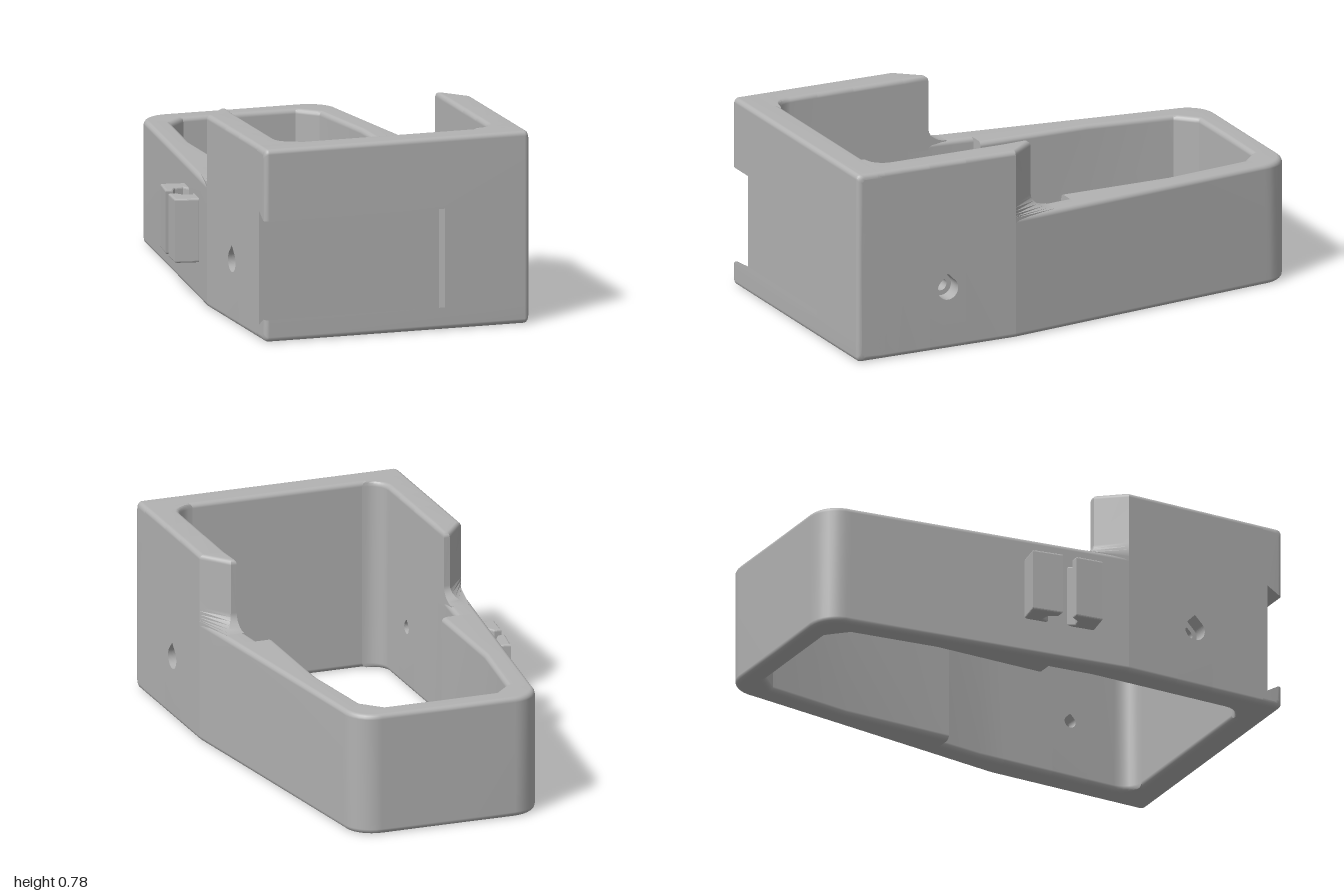
import * as THREE from 'three';

const R = 0.02; // edge rounding
const casing = new THREE.MeshStandardMaterial({ name: 'casing grey', color: 0xb2b2b2 });

// Area-weighted normals, smooth only across shallow edges
function smooth(p) {
  const faces = [], at = new Map();
  const key = (v) => v.toArray().map((n) => Math.round(n * 1e5)).join();
  for (let i = 0; i < p.length; i += 3) {
    const n = p[i + 1].clone().sub(p[i]).cross(p[i + 2].clone().sub(p[i]));
    if (n.length() < 1e-10) continue;
    const f = { v: [p[i], p[i + 1], p[i + 2]], n, u: n.clone().normalize() };
    faces.push(f);
    for (const v of f.v) {
      const k = key(v);
      if (!at.has(k)) at.set(k, []);
      at.get(k).push(f);
    }
  }
  const pos = [], nor = [];
  for (const f of faces) for (const v of f.v) {
    const n = new THREE.Vector3();
    for (const g of at.get(key(v))) if (g.u.dot(f.u) > 0.88) n.add(g.n);
    pos.push(v.x, v.y, v.z);
    nor.push(...n.normalize().toArray());
  }
  const geo = new THREE.BufferGeometry();
  geo.setAttribute('position', new THREE.Float32BufferAttribute(pos, 3));
  geo.setAttribute('normal', new THREE.Float32BufferAttribute(nor, 3));
  return geo;
}

// Closed loft through counter-clockwise 2D profiles, each mapped into space by its own rule
function loft(sections) {
  const rings = sections.map((s) => s.pts.map((q) => s.map(q[0], q[1])));
  const tris = [], n = rings[0].length, last = rings.length - 1;
  const cap = (k, rev) => {
    const flat = sections[k].pts.map((q) => new THREE.Vector2(q[0], q[1]));
    for (const f of THREE.ShapeUtils.triangulateShape(flat, [])) {
      for (const i of rev ? [f[2], f[1], f[0]] : f) tris.push(rings[k][i]);
    }
  };
  cap(0, true);
  cap(last, false);
  for (let s = 0; s < last; s++) for (let j = 0; j < n; j++) {
    const k = (j + 1) % n, a = rings[s], b = rings[s + 1];
    tris.push(a[j], a[k], b[k], a[j], b[k], b[j]);
  }
  // turn the surface outward
  let volume = 0;
  for (let i = 0; i < tris.length; i += 3) volume += tris[i].dot(tris[i + 1].clone().cross(tris[i + 2]));
  return smooth(volume < 0 ? tris.reverse() : tris);
}

// Rounded corner points about (x, y), a quarter turn from angle a
function corner(x, y, r, a) {
  return [0, 1, 2, 3, 4].map((i) => {
    const t = a + (i * Math.PI) / 8;
    return [x + r * Math.cos(t), y + r * Math.sin(t)];
  });
}

// Wall section from outer point o to inner point i
function wall(side, o, i, y0, y1, rb = R, rt = R) {
  const w = Math.hypot(i[0] - o[0], i[1] - o[1]);
  const pts = [
    ...corner(rb, y0 + rb, rb, Math.PI), ...corner(w - rb, y0 + rb, rb, Math.PI * 1.5),
    ...corner(w - rt, y1 - rt, rt, 0), ...corner(rt, y1 - rt, rt, Math.PI / 2),
  ];
  const map = (u, v) => new THREE.Vector3(
    side * (o[0] + ((i[0] - o[0]) * u) / w), v, o[1] + ((i[1] - o[1]) * u) / w);
  return { pts, map };
}

// Front wall section at x; e pulls in its outer edges, slot cuts the dovetail
function frontSection(x, e, slot) {
  const f = 1 - e, t = 0.78 - e, d = slot ? 0.93 : f;
  const pts = [
    ...corner(0.88 + R, e + R, R, Math.PI), ...corner(f - R, e + R, R, Math.PI * 1.5),
    [f, 0.09], [d, slot ? 0.06 : 0.09], [d, slot ? 0.52 : 0.49], [f, 0.49],
    ...corner(f - R, t - R, R, 0), ...corner(0.88 + R, t - R, R, Math.PI / 2),
  ];
  return { pts, map: (z, y) => new THREE.Vector3(x, y, z) };
}

// Block pierced by a teardrop hole, facing x
function holePanel(r, depth) {
  const s = new THREE.Shape([[-0.08, -0.1], [0.08, -0.1], [0.08, 0.1], [-0.08, 0.1]].map((q) => new THREE.Vector2(...q)));
  const hole = new THREE.Path();
  hole.absarc(0, 0, r, Math.PI * 0.75, Math.PI * 2.25, false);
  hole.lineTo(0, r * Math.SQRT2);
  hole.closePath();
  s.holes.push(hole);
  return new THREE.ExtrudeGeometry(s, { depth, bevelEnabled: false, curveSegments: 24 }).rotateY(Math.PI / 2);
}

export function createModel() {
  const model = new THREE.Group();
  model.name = 'openFrameHousing';
  const body = new THREE.Group();
  body.name = 'body';
  body.position.x = 0.035;
  model.add(body);
  const add = (name, geo) => {
    const m = new THREE.Mesh(geo, casing);
    m.name = name;
    body.add(m);
    return m;
  };

  // Front wall with a dovetail slot open at one end
  const ends = [0, 0.25, 0.5, 0.75, 1].map((t) => {
    const a = (t * Math.PI) / 2;
    return [R * (1 - Math.sin(a)), R * (1 - Math.cos(a))];
  });
  add('frontWall', loft([
    ...ends.map(([e, d]) => frontSection(-0.555 + d, e, true)),
    frontSection(0.2, 0, true), frontSection(0.2, 0, false),
    ...ends.slice().reverse().map(([e, d]) => frontSection(0.555 - d, e, false)),
  ]));

  for (const side of [1, -1]) {
    const tag = side > 0 ? 'left' : 'right';
    const straight = (z, xi, y0 = 0, y1 = 0.78, rb = R, rt = R) =>
      wall(side, [0.555, z], [xi, z], y0, y1, rb, rt);

    // Tall side wall, with an inner corner fillet and a window for the hole
    const fillet = [0, 1, 2, 3, 4, 5, 6].map((i) => {
      const a = Math.PI / 2 - (i * Math.PI) / 12;
      return straight(0.8 + 0.08 * Math.sin(a), 0.36 + 0.08 * Math.cos(a));
    });
    add(tag + 'WallFront', loft([straight(0.91, 0.36), ...fillet, straight(0.68, 0.44)]));
    add(tag + 'WallBelowHole', loft([0.68, 0.52].map((z) => straight(z, 0.44, 0, 0.15, R, 0))));
    add(tag + 'WallAboveHole', loft([0.68, 0.52].map((z) => straight(z, 0.44, 0.35, 0.78, 0, R))));
    add(tag + 'WallMiddle', loft([0.52, 0.3].map((z) => straight(z, 0.44))));
    add(tag + 'HoleInner', holePanel(0.025, 0.05)).position.set(side > 0 ? 0.44 : -0.49, 0.25, 0.6);
    add(tag + 'HoleOuter', holePanel(0.045, 0.065)).position.set(side > 0 ? 0.49 : -0.555, 0.25, 0.6);

    // Angled end of the tall wall, flaring down into the low wall
    const level = (y, f, e = 0) => ({
      pts: [[0.44 + e, 0.3], [0.44 + e * 0.5, 0.19 - 0.08 * f + e],
        [0.465 + 0.05 * f - e * 0.4, 0.19 - 0.08 * f + e], [0.555 - e, 0.3]],
      map: (x, z) => new THREE.Vector3(side * x, y, z),
    });
    const flare = [0, 1, 2, 3, 4, 5, 6].map((i) => {
      const a = (i * Math.PI) / 12;
      return level(0.5 + 0.06 * (1 - Math.cos(a)), 1 - Math.sin(a));
    });
    const rim = [0, 1, 2, 3, 4].map((i) => {
      const a = (i * Math.PI) / 8;
      return level(0.76 + R * Math.sin(a), 0, R * (1 - Math.cos(a)));
    });
    add(tag + 'WallEnd', loft([level(0.47, 1), ...flare, ...rim]));

    // Low tapering wall, stepped inside, turning the rear corner
    const low = (o, i) => wall(side, o, i, 0, 0.5);
    const rear = [];
    for (let k = 0; k <= 8; k++) {
      const t = k / 8, a = (t * Math.PI) / 2;
      rear.push(low([0.283 + 0.12 * Math.cos(a), -0.88 - 0.12 * Math.sin(a)], [0.31 - 0.075 * t, -0.83 - 0.075 * t]));
    }
    add(tag + 'RearFrame', loft([
      low([0.555, 0.3], [0.44, 0.3]), low([0.541, 0.19], [0.44, 0.19]),
      low([0.516, 0], [0.42, 0]), low([0.516, 0], [0.357, 0]),
      low([0.4556, -0.47], [0.357, -0.47]), ...rear,
      low([0, -1], [0, -0.905]),
    ]));
  }

  // Two-jaw cable clip on the right side
  const jaws = {
    rearJaw: [[-0.44, -0.14], [-0.555, -0.16], [-0.577, -0.035], [-0.545, -0.035], [-0.525, -0.07],
      [-0.49, -0.075], [-0.475, -0.045], [-0.44, -0.045]],
    frontJaw: [[-0.46, 0.155], [-0.505, 0.152], [-0.597, 0.135], [-0.585, 0.022], [-0.555, 0.022],
      [-0.535, 0.055], [-0.5, 0.065], [-0.485, 0.035], [-0.46, 0.035]],
  };
  for (const [name, pts] of Object.entries(jaws)) {
    const b = 0.008;
    const shape = new THREE.Shape(pts.map(([x, z]) => new THREE.Vector2(x - 0.035, -z)));
    const geo = new THREE.ExtrudeGeometry(shape, {
      depth: 0.26 - 2 * b, bevelThickness: b, bevelSize: b, bevelOffset: -b, bevelSegments: 3,
    });
    add(name, geo.rotateX(-Math.PI / 2).translate(0, 0.15 + b, 0));
  }
  return model;
}
